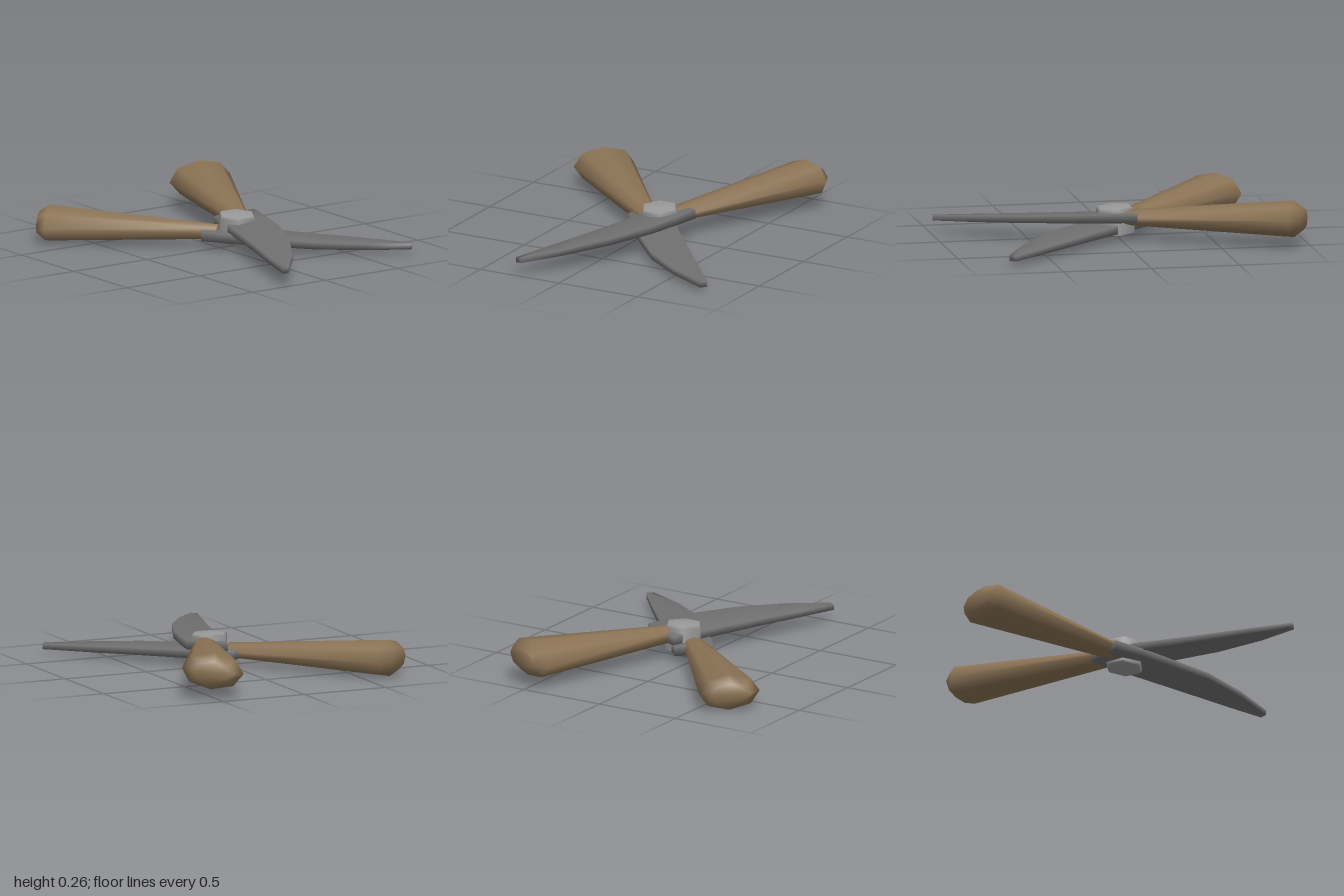
import * as THREE from 'three';

// Skin a list of equal-sized rings (counter-clockwise about the path) with smooth normals and capped ends
function loft(rings) {
  const n = rings[0].length, last = (rings.length - 1) * n, index = [];
  for (let i = 0; i < rings.length - 1; i++) {
    for (let j = 0; j < n; j++) {
      const a = i * n + j, b = i * n + (j + 1) % n;
      index.push(a, b, a + n, b, b + n, a + n);
    }
  }
  for (let j = 1; j < n - 1; j++) {
    index.push(0, j + 1, j, last, last + j, last + j + 1);
  }
  const geometry = new THREE.BufferGeometry().setFromPoints(rings.flat());
  geometry.setIndex(index);
  geometry.computeVertexNormals();
  return geometry;
}

// Eight-sided oval grip that widens towards a bevelled end
function handleGeometry(near, far, up) {
  const d = far.clone().sub(near).normalize();
  const u = up.clone().cross(d).normalize();
  const v = d.clone().cross(u);
  const length = near.distanceTo(far);
  const sections = [[0, 0.06, 0.042], [length, 0.173, 0.103], [length + 0.055, 0.115, 0.062]];
  return loft(sections.map(([s, w, h]) =>
    Array.from({ length: 8 }, (_, k) => {
      const a = k * Math.PI / 4;
      return near.clone().addScaledVector(d, s)
        .addScaledVector(u, w * Math.cos(a)).addScaledVector(v, h * Math.sin(a));
    })));
}

// Tapered blade: each station is [x, z] of one edge, then [x, z] of the other
function bladeGeometry(stations, height) {
  return loft(stations.map(([x1, z1, x2, z2], i) => {
    const t = THREE.MathUtils.lerp(0.027, 0.015, i / (stations.length - 1));
    const y1 = height(x1, z1), y2 = height(x2, z2);
    return [
      new THREE.Vector3(x1, y1 - t, z1), new THREE.Vector3(x1, y1 + t, z1),
      new THREE.Vector3(x2, y2 + t, z2), new THREE.Vector3(x2, y2 - t, z2),
    ];
  }));
}

export function createModel() {
  const wood = new THREE.MeshStandardMaterial({ color: 0x8b7355 });
  const steel = new THREE.MeshStandardMaterial({ color: 0x707070 });
  const boltMetal = new THREE.MeshStandardMaterial({ color: 0x999999 });
  wood.name = 'wood';
  steel.name = 'steel';
  boltMetal.name = 'boltMetal';

  const group = new THREE.Group();
  group.name = 'shears';
  const add = (name, geometry, material) => {
    const mesh = new THREE.Mesh(geometry, material);
    mesh.name = name;
    group.add(mesh);
    return mesh;
  };

  // Wooden grips
  add('upperHandle', handleGeometry(
    new THREE.Vector3(0, 0.132, -0.14), new THREE.Vector3(-0.905, 0.16, -0.52),
    new THREE.Vector3(0, 1, 0.114)), wood);
  add('lowerHandle', handleGeometry(
    new THREE.Vector3(-0.02, 0.09, 0), new THREE.Vector3(-0.70, 0.105, 0.665),
    new THREE.Vector3(0, 1, 0)), wood);

  // Blades with a straight cutting edge and a curved back
  add('upperBlade', bladeGeometry([
    [-0.06, -0.28, -0.13, -0.06],
    [0.10, -0.245, 0.03, -0.02],
    [0.30, -0.19, 0.22, 0.035],
    [0.55, -0.08, 0.48, 0.115],
    [0.80, 0.08, 0.75, 0.205],
    [0.995, 0.245, 0.985, 0.28],
  ], (x, z) => 0.119 - 0.105 * z), steel);
  add('lowerBlade', bladeGeometry([
    [-0.16, -0.04, -0.01, 0.12],
    [-0.03, -0.155, 0.15, 0],
    [0.10, -0.265, 0.30, -0.135],
    [0.29, -0.425, 0.48, -0.30],
    [0.53, -0.63, 0.64, -0.53],
    [0.73, -0.795, 0.76, -0.765],
  ], (x, z) => 0.077 - 0.021 * (x - z)), steel);

  // Hexagonal pivot bolt
  const profile = [[0, -0.08], [0.098, -0.08], [0.11, -0.068], [0.11, 0.062], [0.098, 0.077], [0, 0.082]]
    .map(([r, y]) => new THREE.Vector2(r, y));
  const bolt = add('pivotBolt', new THREE.LatheGeometry(profile, 6), boltMetal);
  bolt.position.set(0.025, 0.111, -0.1);
  bolt.rotation.z = -0.06;

  return group;
}
